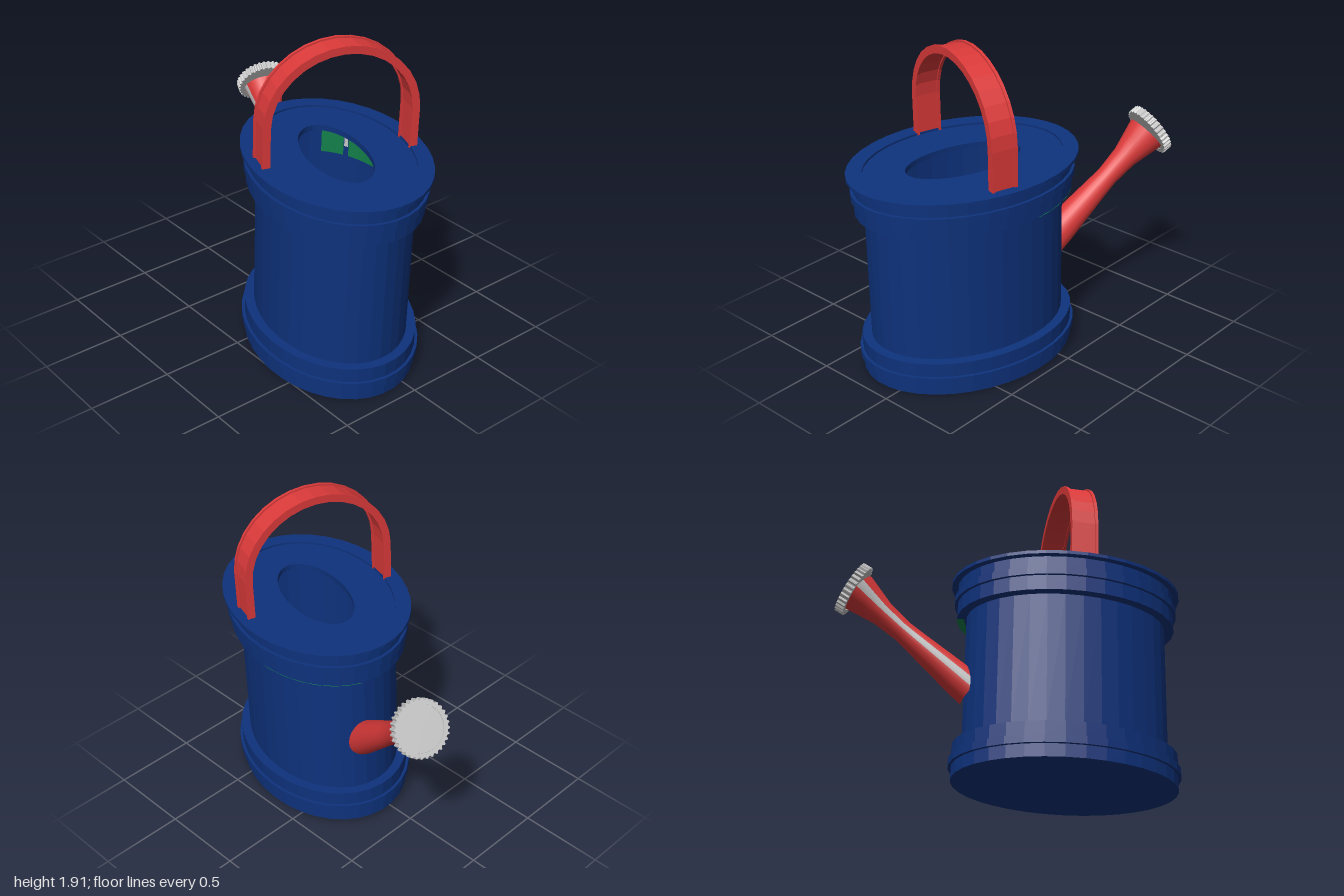
import * as THREE from 'three';

const mat = (name, color, extra = {}) => {
  const m = new THREE.MeshStandardMaterial({ color, ...extra });
  m.name = name;
  return m;
};

// Semi-axes of the oval body wall; profiles are offsets from it
const A = 0.594, B = 0.42;
const CENTRE = null;

// Sweep a profile of [offset, y] points around the oval, with flat facets
function ovalSweep(profile, steps = 36, from = 0, to = Math.PI * 2) {
  const pos = [], idx = [];
  for (const [o, y] of profile) {
    for (let j = 0; j <= steps; j++) {
      const t = from + (to - from) * j / steps;
      const a = o === CENTRE ? 0 : A + o, b = o === CENTRE ? 0 : B + o;
      pos.push(a * Math.cos(t), y, b * Math.sin(t));
    }
  }
  const w = steps + 1;
  for (let i = 0; i < profile.length - 1; i++) {
    for (let j = 0; j < steps; j++) {
      const p = i * w + j;
      if (profile[i][0] !== CENTRE) idx.push(p, p + w, p + 1);
      if (profile[i + 1][0] !== CENTRE) idx.push(p + 1, p + w, p + w + 1);
    }
  }
  const g = new THREE.BufferGeometry();
  g.setAttribute('position', new THREE.Float32BufferAttribute(pos, 3));
  g.setIndex(idx);
  const flat = g.toNonIndexed();
  flat.computeVertexNormals();
  return flat;
}

// Arched strap between two offsets, extruded along x and centred at x
function archStrap(outer, inner, width, x) {
  const base = 1.2, spring = 1.46, n = 16;
  const s = new THREE.Shape();
  const arc = (d, reverse) => {
    for (let i = 0; i <= n; i++) {
      const t = Math.PI * (reverse ? 1 - i / n : i / n);
      s.lineTo((0.46 - d) * Math.cos(t), spring + (0.43 - d) * Math.sin(t));
    }
  };
  s.moveTo(0.46 - outer, base);
  arc(outer, false);
  s.lineTo(-0.46 + outer, base);
  s.lineTo(-0.46 + inner, base);
  arc(inner, true);
  s.lineTo(0.46 - inner, base);
  const g = new THREE.ExtrudeGeometry(s, { depth: width, bevelEnabled: false });
  g.translate(0, 0, -width / 2).rotateY(Math.PI / 2).translate(x, 0, 0);
  return g;
}

export function createModel() {
  const blue = mat('blue', 0x0e327c);
  const red = mat('red', 0xdc3a3a);
  const grey = mat('lightGrey', 0xc6c6c6);
  const green = mat('green', 0x12804a, { side: THREE.DoubleSide });

  const model = new THREE.Group();
  model.name = 'wateringCan';
  const can = new THREE.Group();
  can.name = 'can';
  can.position.set(0.28, 0.02, 0.037);
  can.rotation.set(-0.012, -0.314, -0.03, 'XZY');
  model.add(can);

  const add = (name, geo, material, parent = can) => {
    const m = new THREE.Mesh(geo, material);
    m.name = name;
    parent.add(m);
    return m;
  };

  // Oval container: base band, wall, upper band, lid with opening, inside
  add('body', ovalSweep([
    [CENTRE, 0], [0.055, 0], [0.055, 0.075], [0.072, 0.075], [0.072, 0.12],
    [0.055, 0.12], [0.055, 0.205], [0, 0.205], [0, 1.0], [0.055, 1.0],
    [0.055, 1.09], [0.072, 1.09], [0.072, 1.135], [0.055, 1.135],
    [0.055, 1.21], [0.092, 1.21], [0.092, 1.23], [0, 1.23], [0, 1.218],
    [-0.24, 1.218], [-0.24, 1.185], [-0.02, 1.185], [-0.02, 0.03], [CENTRE, 0.03],
  ]), blue);

  // Green patches inside the back wall and under the upper band
  const deg = Math.PI / 180;
  [[200, 218], [222, 246]].forEach(([f, t]) =>
    add('innerPatch', ovalSweep([[-0.028, 1.08], [-0.028, 0.94]], 6, f * deg, t * deg), green));
  add('innerMark', ovalSweep([[-0.028, 1.08], [-0.028, 1.0]], 1, 218.5 * deg, 221.5 * deg), grey);
  add('bandUnderside', ovalSweep([[0.01, 0.997], [0.054, 0.997]], 12, 185 * deg, 250 * deg), green);

  // Handle: thin strap with a raised lip along each edge
  const handle = new THREE.Group();
  handle.name = 'handle';
  can.add(handle);
  add('strap', archStrap(0.01, 0.038, 0.125, 0), red, handle);
  for (const side of [-1, 1]) {
    add('strapLip', archStrap(0, 0.046, 0.018, side * 0.069), red, handle);
  }

  // Spout: flared tube with a pale stripe along its front
  const start = new THREE.Vector3(-0.58, 0.55, 0);
  const end = new THREE.Vector3(-1.24, 1.085, -0.015);
  const spout = new THREE.Group();
  spout.name = 'spout';
  spout.position.copy(start);
  spout.quaternion.setFromUnitVectors(new THREE.Vector3(0, 1, 0), end.clone().sub(start).normalize());
  can.add(spout);
  const profile = [[0.1, -0.04], [0.096, 0.06], [0.07, 0.4], [0.064, 0.5], [0.075, 0.65], [0.1, 0.76], [0.12, 0.845]]
    .map(([r, y]) => new THREE.Vector2(r, y));
  const half = 0.24;
  add('spoutTube', new THREE.LatheGeometry(profile, 20, half, Math.PI * 2 - 2 * half), red, spout);
  add('spoutStripe', new THREE.LatheGeometry(profile, 2, -half, 2 * half), grey, spout);

  // Sprinkler rose: ridged rim around a slightly sunken face
  const rose = new THREE.Group();
  rose.name = 'rose';
  rose.position.set(-1.262, 1.1, -0.017);
  rose.quaternion.setFromUnitVectors(new THREE.Vector3(0, 0, 1), new THREE.Vector3(-Math.cos(0.5), Math.sin(0.5), 0));
  can.add(rose);
  const rim = new THREE.Shape();
  const teeth = 32;
  for (let i = 0; i < teeth * 4; i++) {
    const t = i / (teeth * 4) * Math.PI * 2;
    const r = i % 4 < 2 ? 0.161 : 0.15;
    rim[i ? 'lineTo' : 'moveTo'](r * Math.cos(t), r * Math.sin(t));
  }
  rim.holes.push(new THREE.Path().absarc(0, 0, 0.128, 0, Math.PI * 2, true));
  add('roseRim', new THREE.ExtrudeGeometry(rim, { depth: 0.052, bevelEnabled: false, curveSegments: 16 })
    .translate(0, 0, -0.026), grey, rose);
  add('roseFace', new THREE.CylinderGeometry(0.129, 0.129, 0.04, 32).rotateX(Math.PI / 2), grey, rose);

  return model;
}
